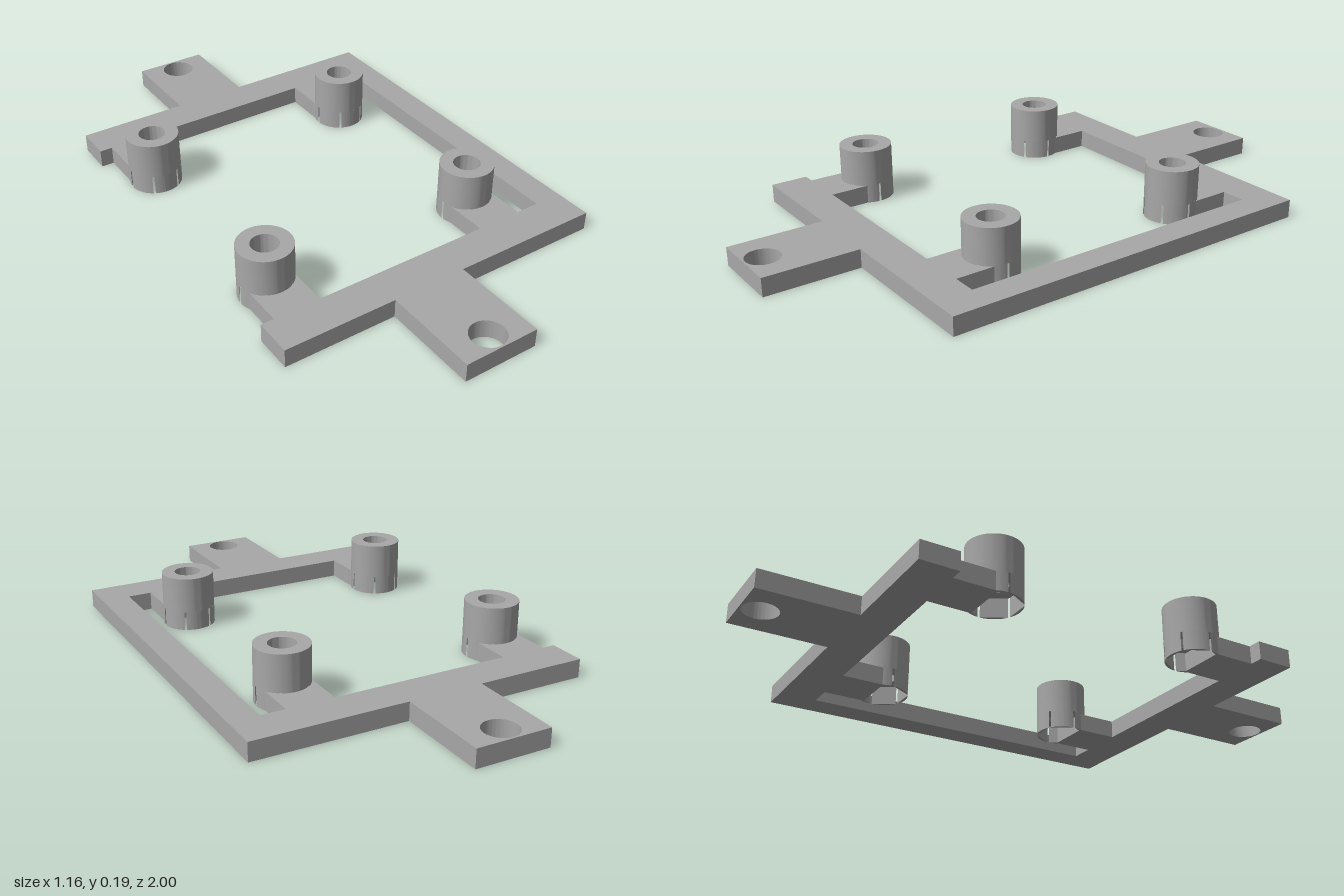
import * as THREE from 'three';
import { toCreasedNormals } from 'three/addons/utils/BufferGeometryUtils.js';

const PLATE_H = 0.063, POST_H = 0.188, TRAP_H = 0.065;
const POST_R = 0.09, BORE_R = 0.045, HEX_R = 0.092;

const circle = (x, y, r) => new THREE.Path().absarc(x, y, r, 0, Math.PI * 2, true);

// Extrude a plan shape upwards from y0 to y1
function slab(shape, y0, y1, curveSegments = 32) {
  const g = new THREE.ExtrudeGeometry(shape, { depth: y1 - y0, bevelEnabled: false, curveSegments });
  g.rotateX(-Math.PI / 2);
  g.translate(0, y0, 0);
  return toCreasedNormals(g, 0.6);
}

export function createModel() {
  const group = new THREE.Group();
  const grey = new THREE.MeshStandardMaterial({ color: 0xa8a8a8 });
  grey.name = 'grey plastic';

  const add = (parent, name, geometry) => {
    const mesh = new THREE.Mesh(geometry, grey);
    mesh.name = name;
    parent.add(mesh);
  };

  // Flat C-shaped frame with screw tabs and four post arms, mirrored front to back
  const half = [
    [0.58, 0.675], [0.06, 0.675], [0.06, 1], [-0.197, 1], [-0.197, 0.675],
    [-0.58, 0.675], [-0.58, 0.547], [-0.536, 0.547], [-0.536, 0.402],
    [-0.376, 0.402], [-0.376, 0.547], [0.237, 0.547], [0.237, 0.402],
    [0.399, 0.402], [0.399, 0.547], [0.482, 0.547],
  ];
  const outline = [...half, ...half.map(([x, z]) => [x, -z]).reverse()];
  const plate = new THREE.Shape(outline.map(([x, z]) => new THREE.Vector2(x, z)));
  plate.holes.push(circle(-0.068, 0.937, 0.057), circle(-0.068, -0.937, 0.057));
  add(group, 'framePlate', slab(plate, 0, PLATE_H));

  // Post: bored cylinder over a hexagonal nut pocket whose corners slit the wall
  const ring = new THREE.Shape().absarc(0, 0, POST_R, 0, Math.PI * 2, false);
  ring.holes.push(circle(0, 0, BORE_R));
  const ringGeo = slab(ring, TRAP_H, POST_H);
  const halfArc = Math.acos(HEX_R * Math.cos(Math.PI / 6) / POST_R);
  const wallGeos = [];
  for (let i = 0; i < 6; i++) {
    const mid = (i + 0.5) * Math.PI / 3;
    const wall = new THREE.Shape().absarc(0, 0, POST_R, mid - halfArc, mid + halfArc, false);
    wallGeos.push(slab(wall, 0, TRAP_H, 8));
  }
  for (const x of [-0.455, 0.32]) {
    for (const z of [-0.37, 0.37]) {
      const post = new THREE.Group();
      post.name = 'standoffPost';
      post.position.set(x, 0, z);
      add(post, 'postTube', ringGeo);
      wallGeos.forEach((g) => add(post, 'nutPocketWall', g));
      group.add(post);
    }
  }
  return group;
}
